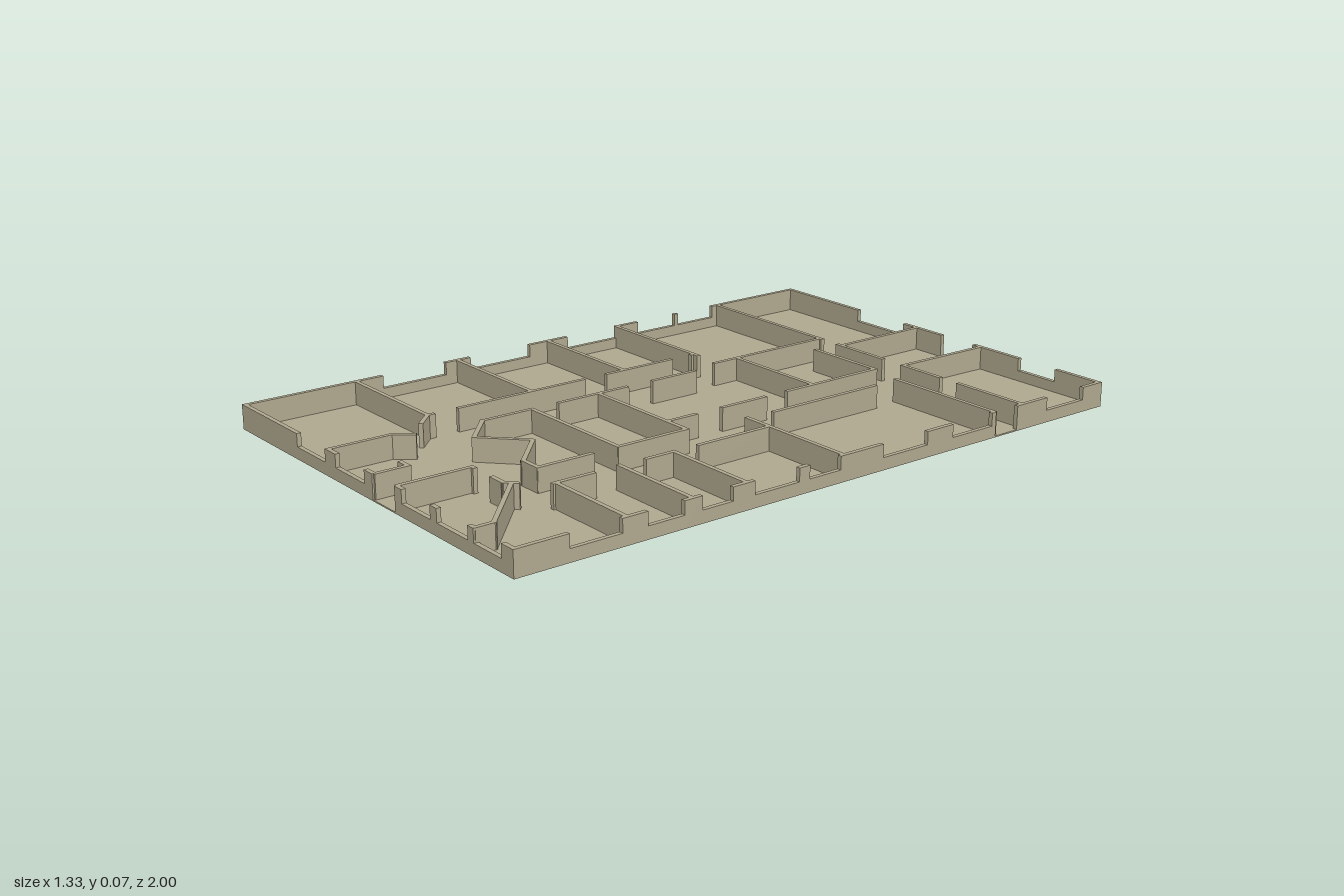
import * as THREE from 'three';

const W = 0.664, D = 1, H = 0.072, SILL = 0.035, FLOOR = 0.004, T = 0.013;

export function createModel() {
  const model = new THREE.Group();
  const plaster = new THREE.MeshStandardMaterial({ color: 0xb0a88f });
  plaster.name = 'warm grey plaster';

  // Straight wall between two plan points; ends run on by `extra` to close corners
  function wall(parent, name, [x1, z1], [x2, z2], height = H, extra = 0) {
    const dx = x2 - x1, dz = z2 - z1;
    const mesh = new THREE.Mesh(
      new THREE.BoxGeometry(Math.hypot(dx, dz) + extra * 2, height - 0.001, T), plaster);
    mesh.position.set((x1 + x2) / 2, (height + 0.001) / 2, (z1 + z2) / 2);
    mesh.rotation.y = -Math.atan2(dz, dx);
    mesh.name = name;
    parent.add(mesh);
  }

  // Floor slab
  const floor = new THREE.Mesh(new THREE.BoxGeometry(W * 2, FLOOR, D * 2), plaster);
  floor.position.y = FLOOR / 2;
  floor.name = 'floor';
  model.add(floor);

  // Outer walls: openings are [from, to, sill height]; a sill of 0 is a doorway
  function outerWall(name, end, point, openings) {
    const group = new THREE.Group();
    group.name = name;
    let at = -end;
    for (const [from, to, sill = SILL] of openings) {
      wall(group, 'pier', point(at), point(from));
      if (sill) wall(group, 'windowSill', point(from), point(to), sill);
      at = to;
    }
    wall(group, 'pier', point(at), point(end));
    model.add(group);
  }
  const e = T / 2;
  outerWall('frontWall', W, x => [x, D - e],
    [[-0.35, -0.2], [-0.145, 0], [0.04, 0.147, 0], [0.18, 0.31], [0.34, 0.475], [0.5, 0.615]]);
  outerWall('backWall', W, x => [x, -D + e],
    [[-0.325, -0.12], [0.045, 0.175, 0], [0.36, 0.5]]);
  outerWall('leftWall', D, z => [W - e, z],
    [[-0.92, -0.77], [-0.65, -0.565, 0], [-0.55, -0.4], [-0.305, -0.145], [0.005, 0.11],
      [0.145, 0.29], [0.36, 0.455], [0.51, 0.62], [0.695, 0.845]]);
  outerWall('rightWall', D, z => [-W + e, z],
    [[-0.65, -0.51], [-0.495, -0.35], [-0.265, -0.08], [0.06, 0.27], [0.355, 0.565]]);

  // Partitions: each row is a path of x, z pairs on the plan
  const L = 0.655, R = -0.655;
  const rooms = {
    backRooms: [
      [-0.066, -0.99, -0.066, -0.675], [-0.08, -0.675, 0.11, -0.675],
      [0.204, -0.99, 0.196, -0.675, 0.345, -0.675], [0.42, -0.675, L, -0.675],
      [R, -0.675, -0.155, -0.675], [-0.163, -0.675, -0.163, -0.26],
    ],
    backCore: [
      [-0.08, -0.585, 0.17, -0.585, 0.17, -0.25], [-0.16, -0.345, 0.17, -0.345],
      [-0.14, -0.165, -0.14, -0.015], [0.17, -0.165, 0.17, -0.015],
    ],
    frontCore: [
      [-0.14, 0.08, -0.14, 0.31], [0.17, 0.08, 0.17, 0.177],
      [-0.14, 0.177, 0.252, 0.177, 0.252, 0.4, -0.14, 0.4, -0.14, 0.56,
        -0.04, 0.65, 0.073, 0.543, 0.188, 0.65, 0.252, 0.65, 0.252, 0.485],
    ],
    leftRooms: [
      [0.28, -0.565, L, -0.565], [0.285, -0.475, 0.285, -0.1],
      [0.28, -0.01, L, -0.01], [0.37, -0.01, 0.37, 0.23],
      [0.37, 0.4, 0.37, 0.312, L, 0.312], [0.365, 0.482, L, 0.482],
      [0.37, 0.565, 0.37, 0.685], [0.37, 0.678, L, 0.678],
    ],
    rightRooms: [
      [R, -0.27, -0.255, -0.27], [-0.272, -0.27, -0.272, -0.26],
      [-0.272, -0.18, -0.272, 0.05], [R, -0.01, -0.272, -0.01],
      [-0.272, 0.135, -0.272, 0.55], [R, 0.312, -0.272, 0.312],
      [R, 0.65, -0.272, 0.65], [-0.272, 0.633, -0.272, 0.65, -0.222, 0.7],
    ],
    entrance: [
      [-0.156, 0.76, -0.193, 0.807, -0.193, 0.99], [0.005, 0.897, 0.04, 0.897, 0.04, 0.99],
      [0.157, 0.777, 0.147, 0.777, 0.147, 0.99], [0.24, 0.777, 0.29, 0.777, 0.315, 0.752],
      [0.305, 0.765, 0.495, 0.94, 0.495, 0.99],
    ],
  };
  for (const [name, paths] of Object.entries(rooms)) {
    const group = new THREE.Group();
    group.name = name;
    for (const p of paths)
      for (let i = 0; i + 3 < p.length; i += 2)
        wall(group, 'partition', [p[i], p[i + 1]], [p[i + 2], p[i + 3]], H, T * 0.4);
    model.add(group);
  }
  return model;
}
